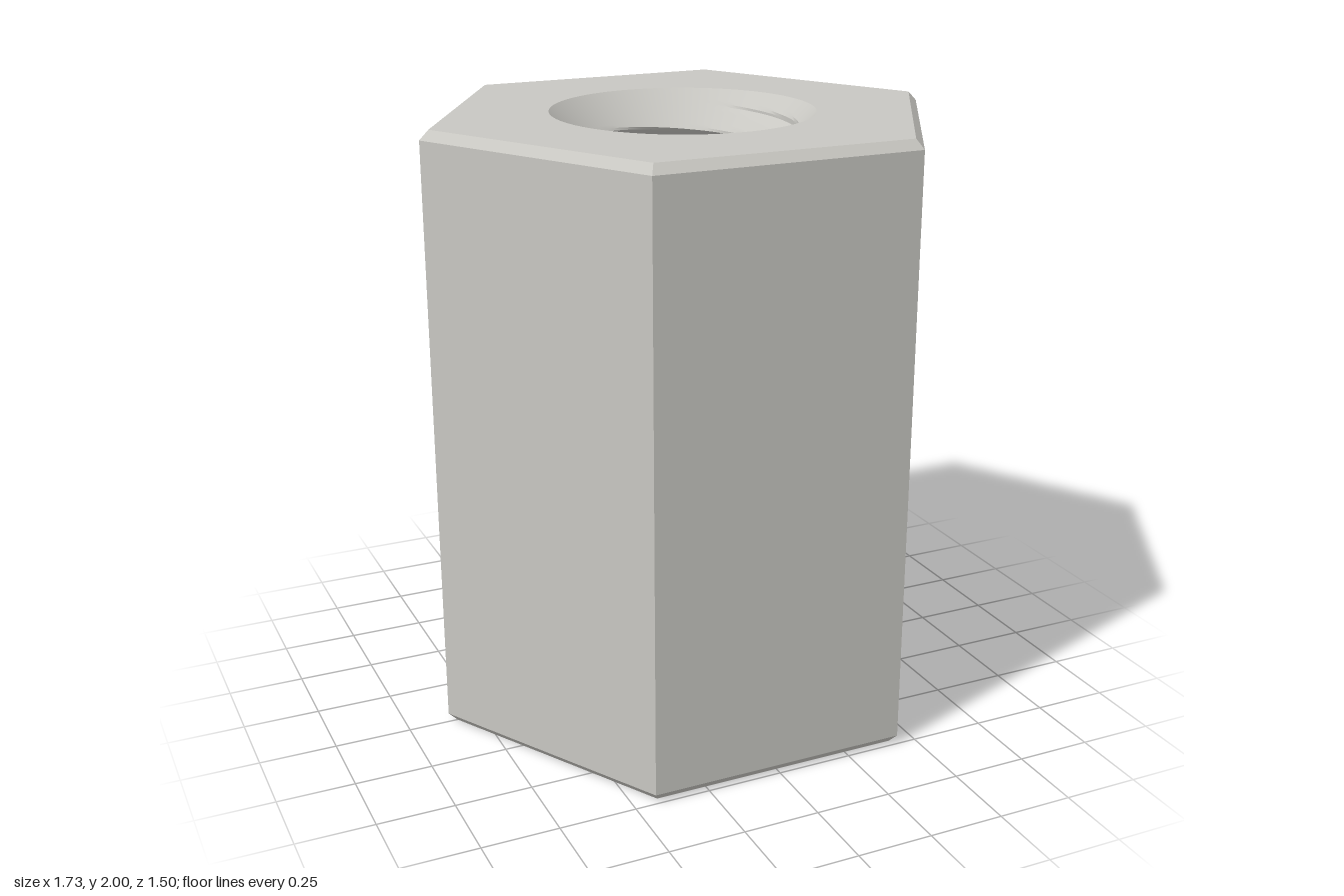
import * as THREE from 'three';
import { toCreasedNormals } from 'three/addons/utils/BufferGeometryUtils.js';

const HEIGHT = 2, HEX = 0.865, CHAMFER = 0.03;
const RIM = 0.425, MAJOR = 0.375, MINOR = 0.305, PITCH = 0.131;

// Thread radius at u, the height measured from a root centre
function threadRadius(u) {
  const t = u / PITCH;
  const d = Math.abs(t - Math.round(t)); // 0 at the root, 0.5 at the crest
  const k = THREE.MathUtils.clamp((d - 1 / 16) / (5 / 16), 0, 1);
  return THREE.MathUtils.lerp(MAJOR, MINOR, k);
}

// Right-handed helical bore, opened by a 45 degree countersink at both ends
function boreGeometry() {
  const sides = 72, steps = 16;
  const rows = Math.ceil((HEIGHT / PITCH + 2) * steps);
  const pos = [], index = [];
  for (let j = 0; j <= rows; j++) {
    for (let i = 0; i <= sides; i++) {
      const turn = i / sides, a = (i % sides) / sides * Math.PI * 2;
      const u = (8 - j) / steps * PITCH; // heights run down from the top root
      const y = THREE.MathUtils.clamp(1.94 + PITCH + u + (turn - 1) * PITCH, 0, HEIGHT);
      const r = Math.max(threadRadius(u), RIM - Math.min(y, HEIGHT - y));
      pos.push(r * Math.cos(a), y, -r * Math.sin(a));
    }
  }
  for (let j = 0; j < rows; j++) {
    for (let i = 0; i < sides; i++) {
      const a = j * (sides + 1) + i, b = a + 1, c = a + sides + 1, d = c + 1;
      index.push(a, b, c, b, d, c); // faces the axis
    }
  }
  const geo = new THREE.BufferGeometry();
  geo.setAttribute('position', new THREE.Float32BufferAttribute(pos, 3));
  geo.setIndex(index);
  return toCreasedNormals(geo, 0.4);
}

// Hexagonal end face with a round opening
function endFaceGeometry() {
  const shape = new THREE.Shape();
  for (let i = 0; i < 6; i++) {
    const a = i * Math.PI / 3, r = HEX - CHAMFER;
    shape[i ? 'lineTo' : 'moveTo'](r * Math.cos(a), r * Math.sin(a));
  }
  shape.closePath();
  const hole = new THREE.Path();
  hole.absarc(0, 0, RIM, 0, Math.PI * 2, true);
  shape.holes.push(hole);
  return new THREE.ShapeGeometry(shape, 36);
}

export function createModel() {
  const steel = new THREE.MeshStandardMaterial({ color: 0xc8c7c2 });
  steel.name = 'steel';
  const group = new THREE.Group();
  group.name = 'threadedHexSpacer';
  const add = (name, geometry) => {
    const mesh = new THREE.Mesh(geometry, steel);
    mesh.name = name;
    group.add(mesh);
    return mesh;
  };

  // Six flats with chamfered ends, corners on the x axis
  const profile = [
    [HEX - CHAMFER, 0], [HEX, CHAMFER], [HEX, HEIGHT - CHAMFER], [HEX - CHAMFER, HEIGHT],
  ].map(([x, y]) => new THREE.Vector2(x, y));
  const hex = new THREE.LatheGeometry(profile, 6, Math.PI / 2).toNonIndexed();
  hex.computeVertexNormals();
  add('hexBody', hex);

  // End faces
  const top = add('topFace', endFaceGeometry());
  top.rotation.x = -Math.PI / 2;
  top.position.y = HEIGHT;
  add('bottomFace', endFaceGeometry()).rotation.x = Math.PI / 2;

  add('threadedBore', boreGeometry());
  return group;
}
